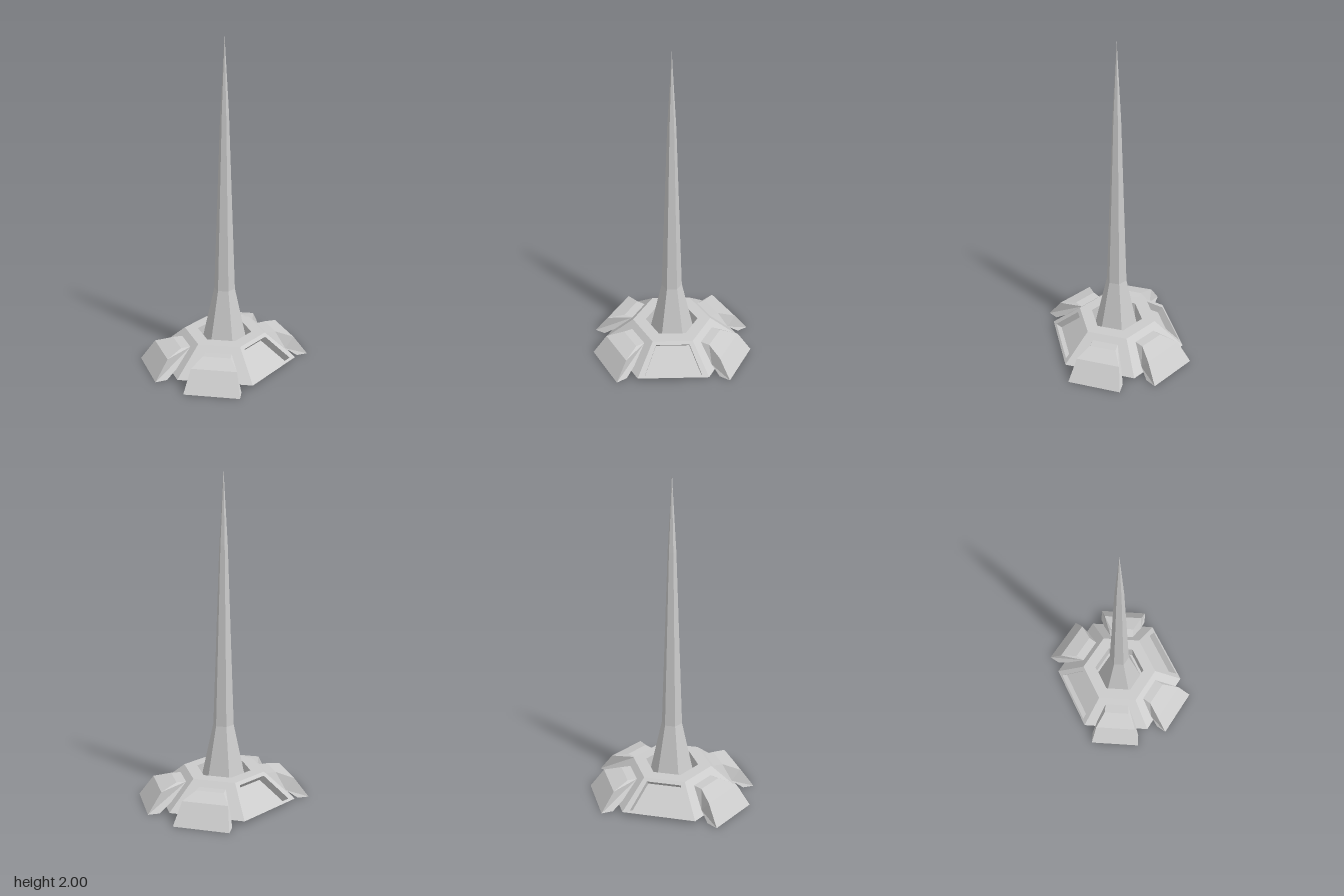
import * as THREE from 'three';

const material = new THREE.MeshStandardMaterial({ color: 0xcccccc, flatShading: true, side: THREE.DoubleSide });

// Mesh from a list of convex polygons, each a list of [x, y, z] corners
function polyMesh(name, polygons) {
  const pos = [];
  for (const p of polygons)
    for (let i = 1; i < p.length - 1; i++) pos.push(...p[0], ...p[i], ...p[i + 1]);
  const geo = new THREE.BufferGeometry();
  geo.setAttribute('position', new THREE.Float32BufferAttribute(pos, 3));
  geo.computeVertexNormals();
  const mesh = new THREE.Mesh(geo, material);
  mesh.name = name;
  return mesh;
}

// Quads joining two matching loops; count can stop short to leave the last side open
function bridge(a, b, count = a.length) {
  const quads = [];
  for (let i = 0; i < count; i++) {
    const j = (i + 1) % a.length;
    quads.push([a[i], a[j], b[j], b[i]]);
  }
  return quads;
}

// Hexagon with corners on the z axis
function hexagon(radius, y) {
  return Array.from({ length: 6 }, (_, i) => {
    const a = (i * Math.PI) / 3;
    return [Math.sin(a) * radius, y, Math.cos(a) * radius];
  });
}

// Sloping side of the base: x is the distance outward from the centre
const TOP = 0.18, R_IN = 0.2225, R_OUT = 0.39, BOTTOM = 0.024;
const slopeY = (x) => TOP - ((x - R_IN) * (TOP - BOTTOM)) / (R_OUT - R_IN);
const trapezoid = (x0, w0, x1, w1) => [
  [x0, slopeY(x0), w0], [x1, slopeY(x1), w1], [x1, slopeY(x1), -w1], [x0, slopeY(x0), -w0],
];

const sideOutline = trapezoid(R_IN, R_IN / Math.sqrt(3), R_OUT, R_OUT / Math.sqrt(3));

// Side with a deep recessed panel
function recessedSide() {
  const group = new THREE.Group();
  group.name = 'recessedSide';
  const rim = trapezoid(0.24, 0.107, 0.378, 0.18);
  const floor = rim.map(([x, y, z]) => [x - 0.034, y - 0.0355, z]);
  group.add(polyMesh('sideFrame', bridge(sideOutline, rim)));
  group.add(polyMesh('recessWalls', bridge(rim, floor)));
  group.add(polyMesh('recessPanel', [floor]));
  return group;
}

// Side opening into a flared foot
function footedSide() {
  const group = new THREE.Group();
  group.name = 'footedSide';
  // outward distance, height, half width
  const profile = [
    [0.257, slopeY(0.257), 0.081], [0.317, 0.15, 0.083], [0.42, 0.12, 0.136],
    [0.507, 0, 0.165], [0.435, 0, 0.164], [0.365, slopeY(0.365), 0.137],
  ];
  const left = profile.map(([x, y, w]) => [x, y, w]);
  const right = profile.map(([x, y, w]) => [x, y, -w]);
  group.add(polyMesh('sideFrame', bridge(sideOutline, trapezoid(0.257, 0.081, 0.365, 0.137))));
  group.add(polyMesh('foot', [...bridge(left, right, 5), [...left].reverse(), right]));
  return group;
}

export function createModel() {
  const model = new THREE.Group();
  model.name = 'spireTower';

  // Six sides of the base: recessed panels on left and right, feet on the other four
  const base = new THREE.Group();
  base.name = 'base';
  for (let i = 0; i < 6; i++) {
    const side = i % 3 === 0 ? recessedSide() : footedSide();
    side.rotation.y = (i * Math.PI) / 3;
    base.add(side);
  }

  // Top plate with a hexagonal well that holds the spire
  const wellTop = hexagon(0.172, TOP), wellFloor = hexagon(0.172, 0.06);
  base.add(polyMesh('topPlate', bridge(hexagon(R_IN * 2 / Math.sqrt(3), TOP), wellTop)));
  base.add(polyMesh('wellWalls', bridge(wellTop, wellFloor)));
  base.add(polyMesh('wellFloor', [wellFloor]));
  model.add(base);

  // Six-sided spire, flared at the foot and drawn out to a needle
  const rings = [[0.154, 0.06], [0.065, 0.465], [0.026, 1.56], [0.004, 1.93], [0.0005, 2]]
    .map(([r, y]) => hexagon(r, y));
  const faces = rings.slice(1).flatMap((ring, i) => bridge(rings[i], ring));
  model.add(polyMesh('spire', faces));

  return model;
}
